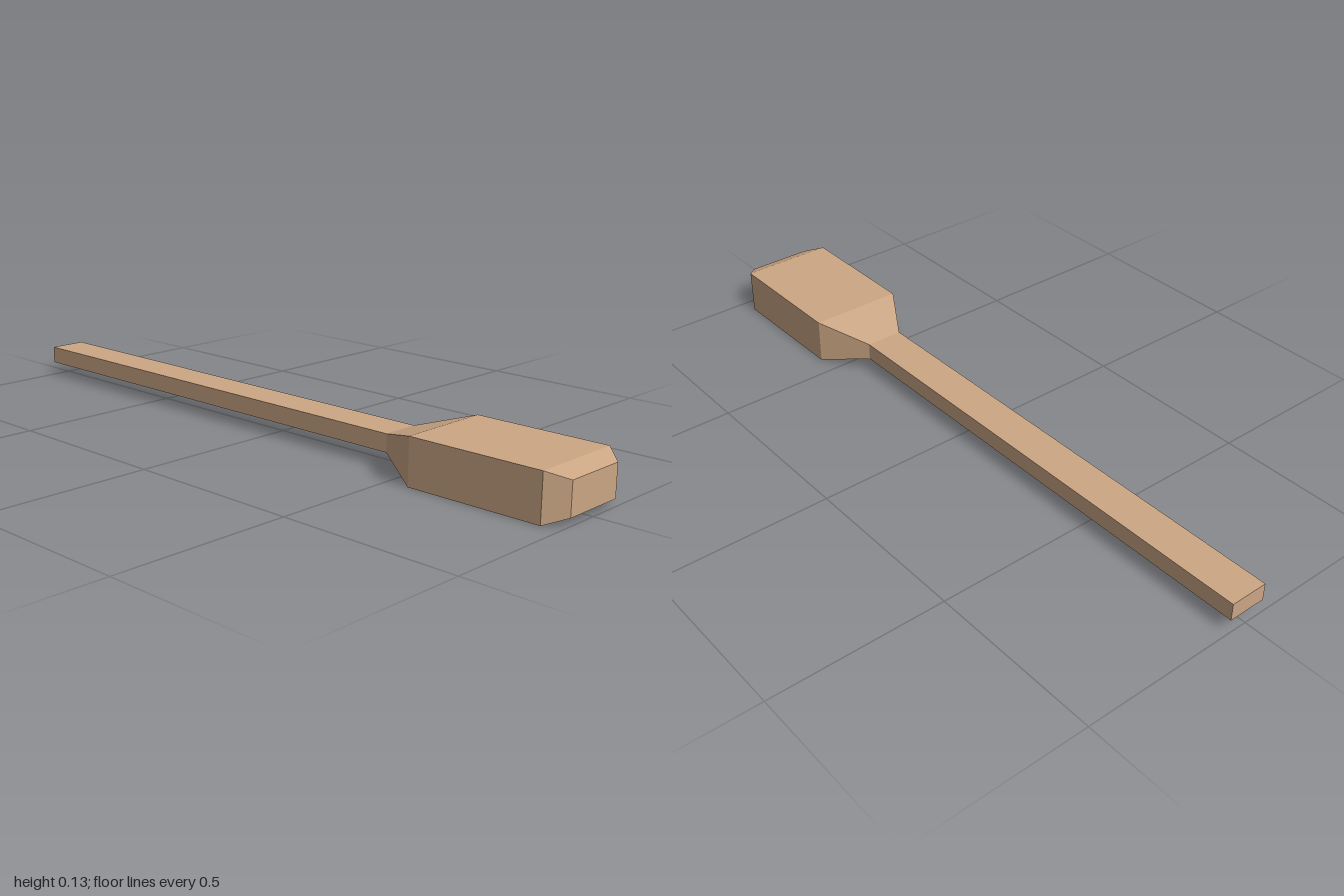
import * as THREE from 'three';

const MID_Y = 0.065;

// Flat-sided loft through centred rectangles [z, halfWidth, halfHeight], back to front
function loft(sections, capBack, capFront) {
  const rings = sections.map(([z, w, h]) => [
    [-w, MID_Y - h, z], [w, MID_Y - h, z], [w, MID_Y + h, z], [-w, MID_Y + h, z],
  ]);
  const positions = [];
  const quad = (a, b, c, d) => [a, b, c, a, c, d].forEach((p) => positions.push(...p));
  for (let i = 0; i < rings.length - 1; i++) {
    const back = rings[i], front = rings[i + 1];
    for (let j = 0; j < 4; j++) {
      const k = (j + 1) % 4;
      quad(back[j], back[k], front[k], front[j]);
    }
  }
  if (capBack) quad(...[...rings[0]].reverse());
  if (capFront) quad(...rings[rings.length - 1]);
  // Outward winding: side quads run back to front around the ring
  const geometry = new THREE.BufferGeometry();
  geometry.setAttribute('position', new THREE.Float32BufferAttribute(positions, 3));
  geometry.computeVertexNormals();
  return geometry;
}

export function createModel() {
  const group = new THREE.Group();
  group.name = 'paddle';
  const wood = new THREE.MeshStandardMaterial({ color: 0xcba684 });
  wood.name = 'light wood';
  wood.flatShading = true;

  const add = (name, geometry) => {
    const mesh = new THREE.Mesh(geometry, wood);
    mesh.name = name;
    group.add(mesh);
  };

  // Long straight handle
  add('handle', loft([[-1, 0.055, 0.025], [0.425, 0.055, 0.025]], true, false));

  // Flared shoulder, thick block and bevelled front end
  add('head', loft([
    [0.425, 0.055, 0.025],
    [0.565, 0.137, 0.065],
    [0.95, 0.137, 0.065],
    [1, 0.094, 0.045],
  ], false, true));

  return group;
}
